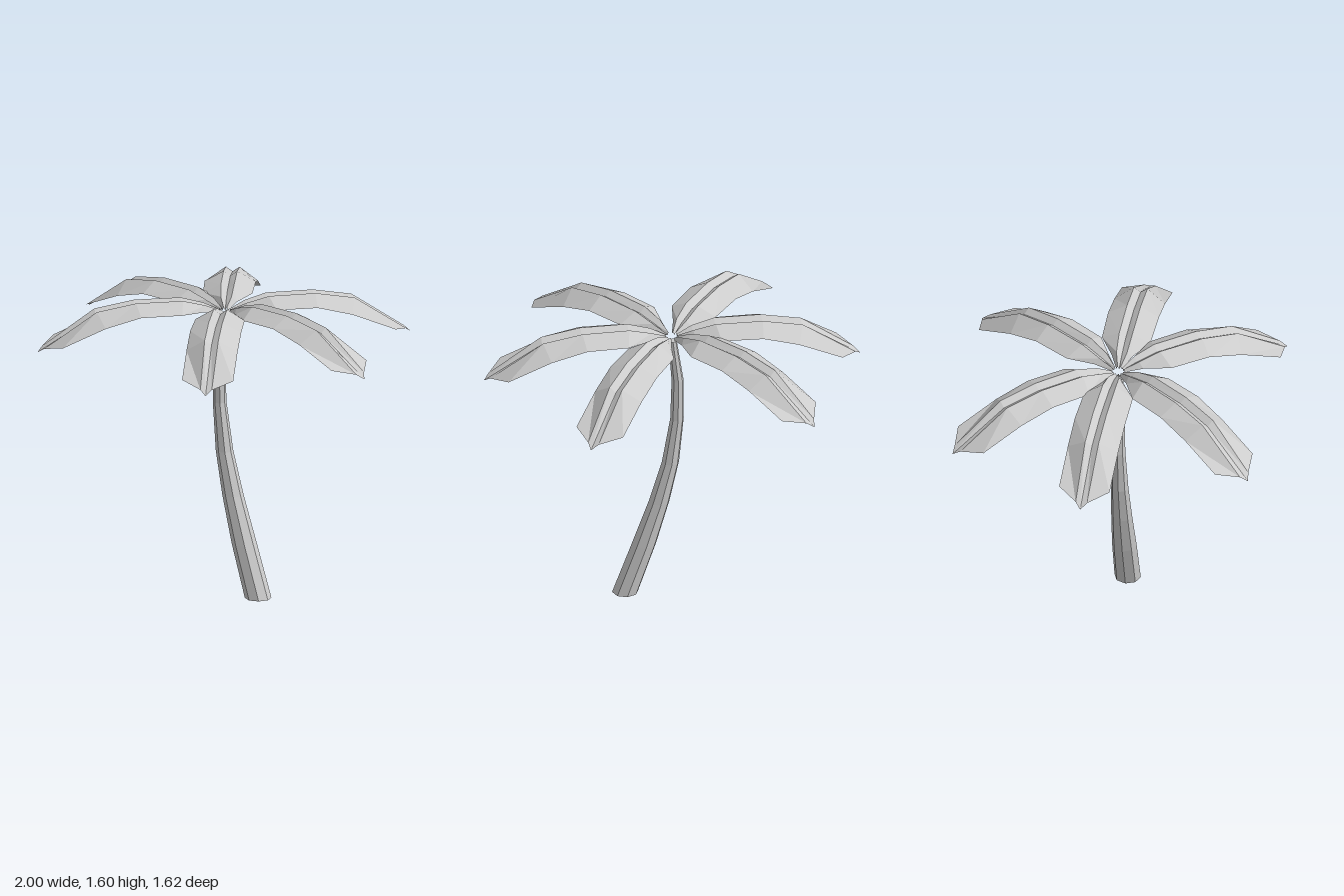
import * as THREE from 'three';

const mat = new THREE.MeshStandardMaterial({ color: 0xcccccc, flatShading: true, side: THREE.DoubleSide });

// Skin a list of equal-length point rows into one surface; optional end caps
function skin(rows, closed = false) {
  const n = rows[0].length, pos = rows.flat(2), index = [];
  const span = closed ? n : n - 1;
  for (let i = 0; i < rows.length - 1; i++) {
    for (let j = 0; j < span; j++) {
      const a = i * n + j, b = i * n + (j + 1) % n, c = a + n, d = b + n;
      index.push(a, c, b, b, c, d);
    }
  }
  if (closed) {
    const top = (rows.length - 1) * n;
    for (let j = 1; j < n - 1; j++) {
      index.push(0, j, j + 1, top, top + j + 1, top + j);
    }
  }
  const g = new THREE.BufferGeometry();
  g.setAttribute('position', new THREE.Float32BufferAttribute(pos, 3));
  g.setIndex(index);
  g.computeVertexNormals();
  return g;
}

// Curved, tapering eight-sided trunk: [x, y, radius]
function makeTrunk() {
  const path = [
    [0.244, 0, 0.07], [0.144, 0.28, 0.066], [0.063, 0.53, 0.056], [0.003, 0.76, 0.046],
    [-0.032, 1.02, 0.036], [-0.035, 1.25, 0.032], [-0.008, 1.49, 0.022],
  ];
  const rows = path.map(([x, y, r], k) => Array.from({ length: 8 }, (_, j) => {
    const a = j * Math.PI / 4;
    const tilt = k === path.length - 1 ? -0.1 : 0;
    return [x + r * Math.cos(a), y + tilt * r * Math.cos(a), 0.012 + r * Math.sin(a)];
  }));
  const trunk = new THREE.Mesh(skin(rows, true), mat);
  trunk.name = 'trunk';
  return trunk;
}

// Arching frond along +x, M-shaped in section: drooping wings, two ridges, centre groove
function makeFrondGeometry() {
  // [edge s, edge y, edge half width, ridge s, ridge y, ridge half width, groove s, groove y]
  const stations = [
    [0.03, 1.515, 0.015, 0.03, 1.53, 0.008, 0.03, 1.515],
    [0.12, 1.535, 0.055, 0.11, 1.565, 0.028, 0.11, 1.545],
    [0.25, 1.545, 0.13, 0.23, 1.597, 0.035, 0.23, 1.57],
    [0.47, 1.545, 0.135, 0.48, 1.597, 0.036, 0.48, 1.572],
    [0.66, 1.495, 0.135, 0.69, 1.56, 0.036, 0.69, 1.535],
    [0.89, 1.4, 0.135, 0.97, 1.372, 0.03, 1.0, 1.347],
  ];
  return skin(stations.map(([es, ey, ew, rs, ry, rw, gs, gy]) => [
    [es, ey, -ew], [rs, ry, -rw], [gs, gy, 0], [rs, ry, rw], [es, ey, ew],
  ]));
}

export function createModel() {
  const model = new THREE.Group();
  model.name = 'palmTree';
  model.add(makeTrunk());

  // Crown of six fronds around the trunk top
  const crown = new THREE.Group();
  crown.name = 'crown';
  const geometry = makeFrondGeometry();
  [0, 55.6, 129.4, 178.4, 233, 307].forEach((deg, i) => {
    const frond = new THREE.Mesh(geometry, mat);
    frond.name = 'frond' + (i + 1);
    frond.rotation.y = THREE.MathUtils.degToRad(deg);
    crown.add(frond);
  });
  crown.position.set(-0.002, 0, 0.004);
  model.add(crown);
  return model;
}
